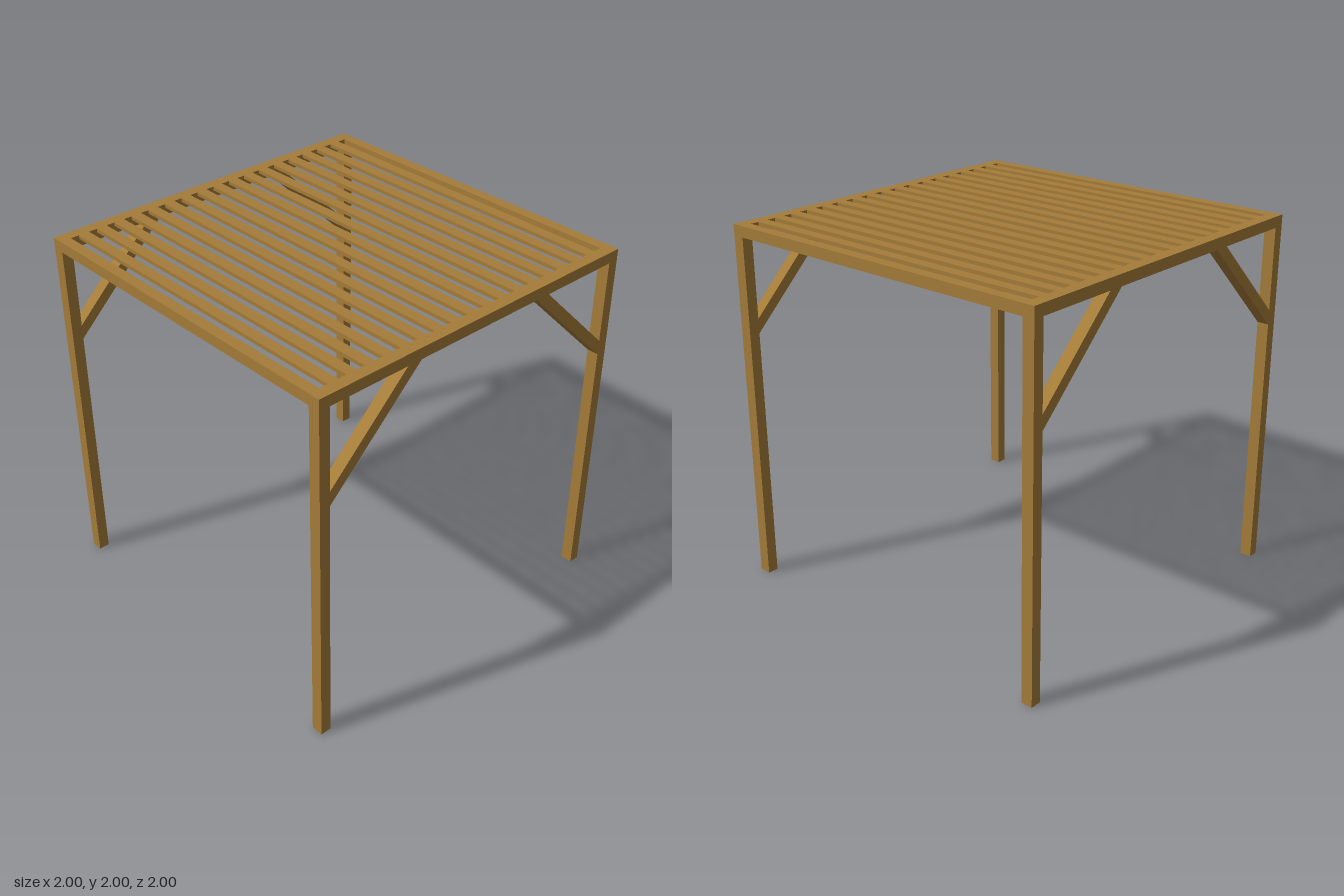
import * as THREE from 'three';

export function createModel() {
  const group = new THREE.Group();
  const wood = new THREE.MeshStandardMaterial({ color: 0xa57c39 });
  wood.name = 'wood';

  const W = 0.065;        // timber width along x
  const D = 0.06;         // timber depth along z, and roof frame height
  const under = 2 - D;    // underside of the roof frame
  const slatThickness = 0.02;
  const slatGaps = 18;

  function add(name, geometry, x, y, z) {
    const mesh = new THREE.Mesh(geometry, wood);
    mesh.name = name;
    mesh.position.set(x, y, z);
    group.add(mesh);
  }

  // Brace profile in (z, y), cut flush against the post and the beam
  const inner = 1 - D;
  const profile = [[inner, 1.41], [inner, 1.49], [0.475, under], [0.39, under]];
  function braceGeometry(side) {
    // Shape x is mapped to world z by a quarter turn, so its sign is flipped
    const shape = new THREE.Shape(profile.map(([z, y]) => new THREE.Vector2(-side * z, y)));
    return new THREE.ExtrudeGeometry(shape, { depth: W, bevelEnabled: false })
      .translate(0, 0, -W / 2)
      .rotateY(Math.PI / 2);
  }

  // Posts, side beams and corner braces
  for (const sx of [-1, 1]) {
    const x = sx * (1 - W / 2);
    add('sideBeam', new THREE.BoxGeometry(W, D, 2), x, 2 - D / 2, 0);
    for (const sz of [-1, 1]) {
      add('post', new THREE.BoxGeometry(W, under, D), x, under / 2, sz * (1 - D / 2));
      add('brace', braceGeometry(sz), x, 0, 0);
    }
  }

  // Front and back beams
  const span = 2 - 2 * W;
  for (const sz of [-1, 1]) {
    add(sz > 0 ? 'frontBeam' : 'backBeam', new THREE.BoxGeometry(span, D, D), 0, 2 - D / 2, sz * (1 - D / 2));
  }

  // Thin roof slats, level with the top of the frame
  const pitch = (2 - D) / slatGaps;
  for (let i = 1; i < slatGaps; i++) {
    add('slat', new THREE.BoxGeometry(span, slatThickness, D), 0, 2 - slatThickness / 2, -1 + D / 2 + i * pitch);
  }

  return group;
}
